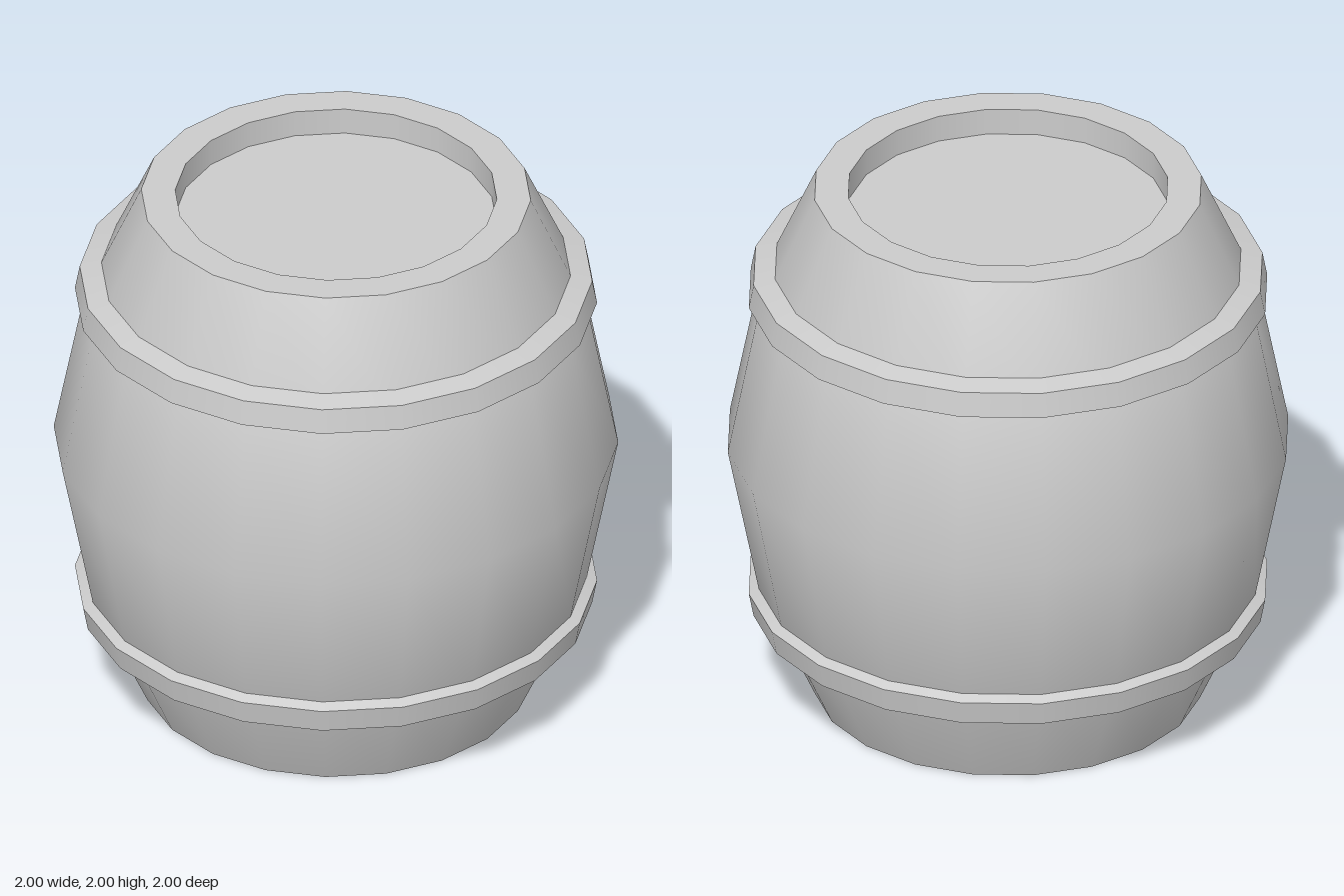
import * as THREE from 'three';

const SIDES = 20;
const HEIGHT = 2;
const material = new THREE.MeshStandardMaterial({ color: 0xcccccc });

// One smooth band turned around the y axis; edges between bands stay sharp.
function band(name, profile) {
  const points = profile.map(([r, y]) => new THREE.Vector2(r, y));
  const mesh = new THREE.Mesh(new THREE.LatheGeometry(points, SIDES), material);
  mesh.name = name;
  return mesh;
}

// Separate hard-edged bands, one for each segment of the profile.
function creased(name, profile) {
  const group = new THREE.Group();
  group.name = name;
  for (let i = 0; i < profile.length - 1; i++) {
    group.add(band(`${name}Face${i + 1}`, [profile[i], profile[i + 1]]));
  }
  return group;
}

// Mirror a profile top to bottom, reversed so it still faces outward.
const flip = (profile) => profile.map(([r, y]) => [r, HEIGHT - y]).reverse();

export function createModel() {
  const barrel = new THREE.Group();
  barrel.name = 'barrel';

  // Bulging wooden body
  barrel.add(band('body', [[0.69, 0], [0.89, 0.44], [1, 1], [0.89, 1.56], [0.69, 2]]));

  // Raised hoops with bevelled edges
  const hoop = [[0.885, 1.56], [0.925, 1.58], [0.908, 1.67], [0.828, 1.69]];
  barrel.add(creased('upperHoop', hoop));
  barrel.add(creased('lowerHoop', flip(hoop)));

  // Flat rim, recess wall and sunken lid at each end
  const end = [[0.69, 2], [0.57, 2], [0.57, 1.9], [0, 1.9]];
  barrel.add(creased('topLid', end));
  barrel.add(creased('bottomLid', flip(end)));

  return barrel;
}
